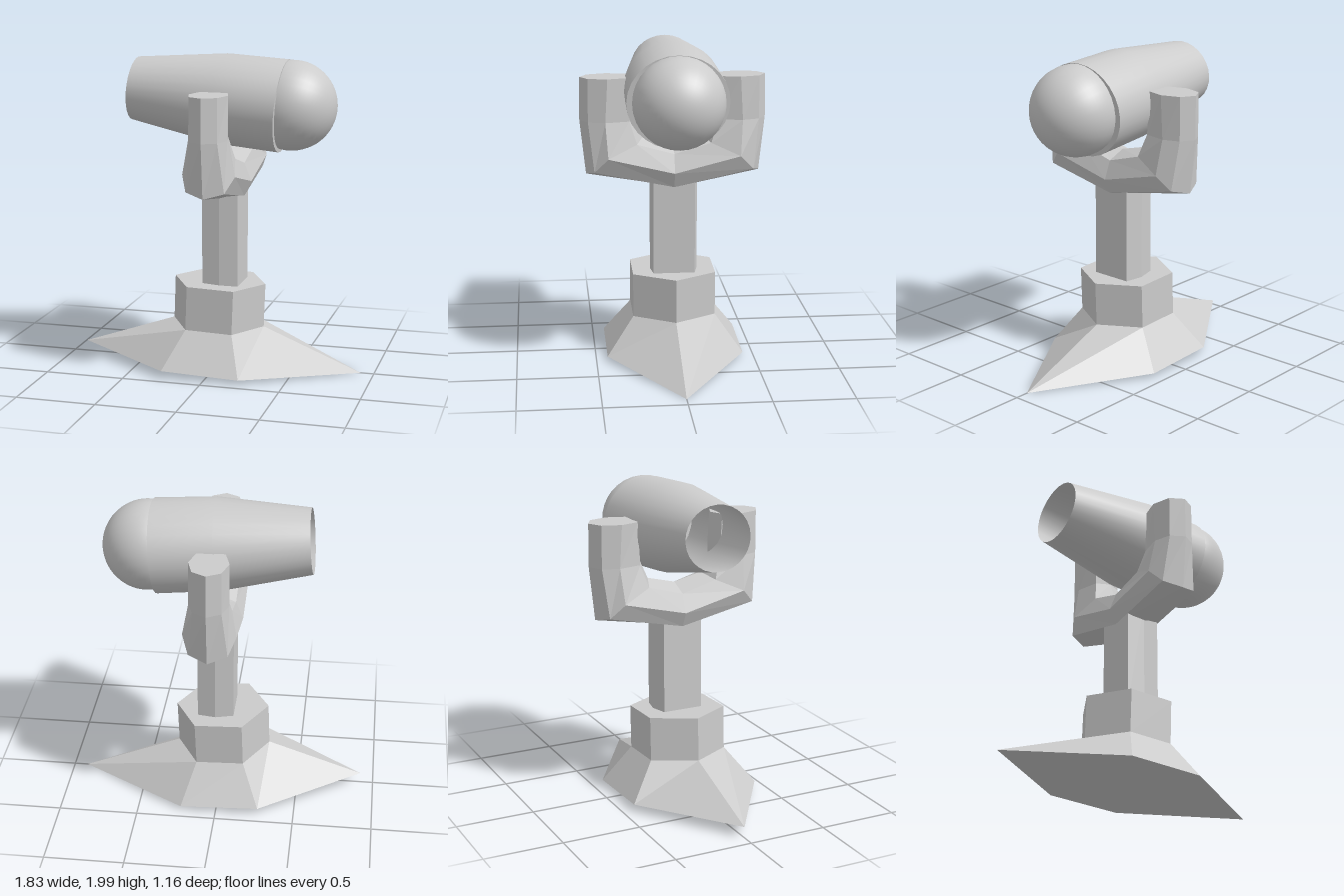
import * as THREE from 'three';

const flat = new THREE.MeshStandardMaterial({ color: 0xcccccc, flatShading: true });
const smooth = new THREE.MeshStandardMaterial({ color: 0xcccccc, side: THREE.DoubleSide });

// Faceted skin through rings of [x, y, z] points, closed at both ends
function loft(rings) {
  const pos = [];
  const tri = (a, b, c) => pos.push(...a, ...b, ...c);
  const n = rings[0].length;
  for (let r = 0; r + 1 < rings.length; r++) {
    const A = rings[r], B = rings[r + 1];
    for (let i = 0; i < n; i++) {
      const j = (i + 1) % n;
      tri(A[i], A[j], B[j]);
      tri(A[i], B[j], B[i]);
    }
  }
  const first = rings[0], last = rings[rings.length - 1];
  for (let i = 1; i + 1 < n; i++) {
    tri(first[0], first[i + 1], first[i]);
    tri(last[0], last[i], last[i + 1]);
  }
  const geo = new THREE.BufferGeometry();
  geo.setAttribute('position', new THREE.Float32BufferAttribute(pos, 3));
  geo.computeVertexNormals();
  return geo;
}

// Six-sided level ring, pointed at +x and -x; y falls gently along x
function hexRing(xMin, xa, xb, xMax, z, y, slope) {
  return [[xMax, 0], [xb, -z], [xa, -z], [xMin, 0], [xa, z], [xb, z]]
    .map(([x, w]) => [x, y - slope * x, w]);
}

// Post section: flat on +x and -x, slightly peaked on +z and -z
function postRing(y) {
  return [[0.145, -0.13], [0.03, -0.155], [-0.085, -0.13],
    [-0.085, 0.13], [0.03, 0.145], [0.145, 0.13]].map(([x, z]) => [x, y, z]);
}

// Yoke section from its outer ridge to its inner ridge, mirrored across x.
// Each half point is [half width, y, z].
function yokeRing(half, side) {
  const put = (p, s) => [0.035 + s * p[0], p[1] - 0.006 * side * p[2], side * p[2]];
  const left = half.map((p) => put(p, -1));
  const right = half.slice(1, -1).reverse().map((p) => put(p, 1));
  return [...left, ...right];
}

export function createModel() {
  const model = new THREE.Group();
  const add = (name, geo, mat, parent = model) => {
    const mesh = new THREE.Mesh(geo, mat);
    mesh.name = name;
    parent.add(mesh);
    return mesh;
  };

  // Spreading foot and hexagonal collar
  const shoulder = hexRing(-0.31, -0.16, 0.14, 0.285, 0.26, 0.27, 0.035);
  add('foot', loft([hexRing(-0.915, -0.27, 0.225, 0.915, 0.43, 0.038, 0.038), shoulder]), flat);
  add('collar', loft([shoulder, hexRing(-0.3, -0.15, 0.15, 0.295, 0.26, 0.55, 0.035)]), flat);

  // Upright post
  add('post', loft([postRing(0.5), postRing(1.22)]), flat);

  // Yoke: down one arm, under the barrel and up the other
  const armTop = [[0, 1.79, 0.578], [0.087, 1.79, 0.53], [0.122, 1.79, 0.41], [0.087, 1.79, 0.29], [0, 1.79, 0.25]];
  const armMid = [[0, 1.52, 0.58], [0.087, 1.52, 0.53], [0.122, 1.52, 0.425], [0.087, 1.52, 0.275], [0, 1.52, 0.235]];
  const elbow = [[0, 1.18, 0.543], [0.12, 1.21, 0.495], [0.165, 1.3, 0.41], [0.12, 1.38, 0.23], [0, 1.41, 0.185]];
  const middle = [[0, 1.085, 0], [0.12, 1.105, 0], [0.165, 1.2, 0], [0.12, 1.315, 0], [0, 1.365, 0]];
  const arm = [armTop, armMid, elbow];
  add('yoke', loft([
    ...arm.map((h) => yokeRing(h, 1)),
    yokeRing(middle, 1),
    ...arm.slice().reverse().map((h) => yokeRing(h, -1)),
  ]), flat);

  // Tilted head: open barrel, end rim and dome along the local y axis
  const head = new THREE.Group();
  head.name = 'head';
  head.position.set(0.02, 1.715, 0);
  head.rotation.z = -Math.PI / 2 - 0.085;
  model.add(head);
  const lathe = (pts) => new THREE.LatheGeometry(pts.map((p) => new THREE.Vector2(...p)), 28);
  add('barrel', lathe([[0.2, -0.572], [0.283, 0], [0.289, 0.39]]), smooth, head).scale.z = 1.08;
  add('barrelRim', lathe([[0.289, 0.39], [0.25, 0.39]]), smooth, head).scale.z = 1.08;
  const dome = add('dome', new THREE.SphereGeometry(0.28, 32, 18, 0, Math.PI * 2, 0, Math.PI * 0.57), smooth, head);
  dome.position.set(-0.01, 0.437, 0);

  return model;
}
